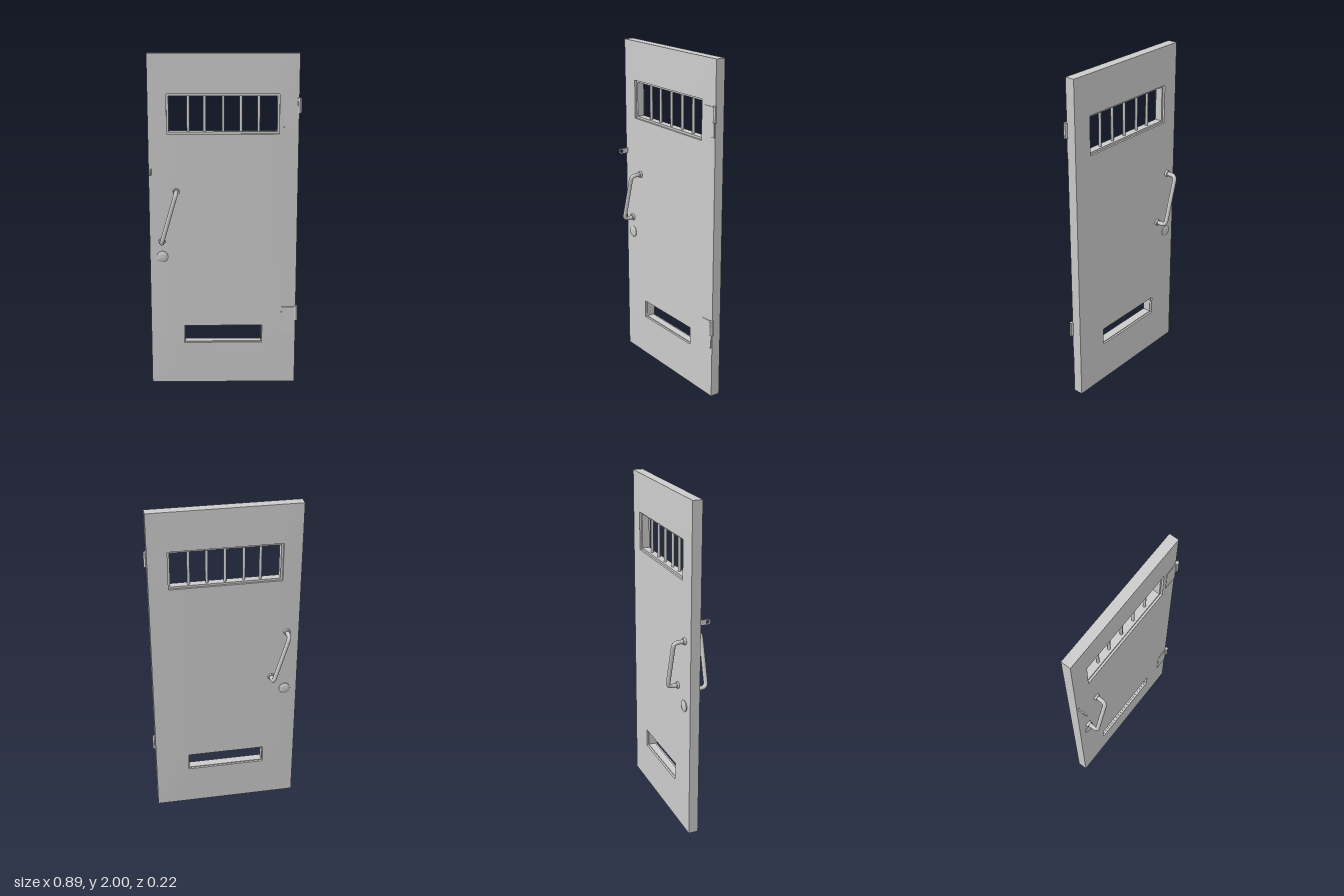
import * as THREE from 'three';
import { toCreasedNormals } from 'three/addons/utils/BufferGeometryUtils.js';

const material = new THREE.MeshStandardMaterial({ color: 0xcccccc });

function add(parent, name, geometry, x = 0, y = 0, z = 0) {
  const mesh = new THREE.Mesh(geometry, material);
  mesh.name = name;
  mesh.position.set(x, y, z);
  parent.add(mesh);
  return mesh;
}

// Slightly pillowed slab: a grid of cells with two cells left open
function doorGeometry() {
  const xs = [-0.445, -0.336, -0.246, 0.225, 0.315, 0.428];
  const ys = [0, 0.26, 0.37, 1.54, 1.77, 2];
  const solid = (i, j) => i >= 0 && j >= 0 && i < 5 && j < 5
    && !(j === 1 && i === 2) && !(j === 3 && i > 0 && i < 4);
  const point = (i, j, side) => {
    const rim = i === 0 || j === 0 || i === 5 || j === 5;
    return [xs[i], ys[j], side * (rim ? 0.029 : 0.034)];
  };
  const out = [];
  const quad = (a, b, c, d) => out.push(...a, ...b, ...c, ...a, ...c, ...d);
  for (let i = 0; i < 5; i++) {
    for (let j = 0; j < 5; j++) {
      if (!solid(i, j)) continue;
      const f = [[i, j], [i + 1, j], [i + 1, j + 1], [i, j + 1]].map(([a, b]) => point(a, b, 1));
      const k = f.map(([x, y, z]) => [x, y, -z]);
      quad(f[0], f[1], f[2], f[3]);
      quad(k[1], k[0], k[3], k[2]);
      // Walls on the rim and inside the openings
      [[0, -1], [1, 0], [0, 1], [-1, 0]].forEach(([dx, dy], e) => {
        const n = (e + 1) % 4;
        if (!solid(i + dx, j + dy)) quad(f[e], k[e], k[n], f[n]);
      });
    }
  }
  const geometry = new THREE.BufferGeometry();
  geometry.setAttribute('position', new THREE.Float32BufferAttribute(out, 3));
  return toCreasedNormals(geometry, 0.5);
}

function rectangle(PathType, x0, x1, y0, y1) {
  return new PathType([[x0, y0], [x1, y0], [x1, y1], [x0, y1]].map(p => new THREE.Vector2(...p)));
}

function frameGeometry(x0, x1, y0, y1, width, depth) {
  const shape = rectangle(THREE.Shape, x0, x1, y0, y1);
  shape.holes.push(rectangle(THREE.Path, x0 + width, x1 - width, y0 + width, y1 - width));
  return new THREE.ExtrudeGeometry(shape, { depth, bevelEnabled: false }).translate(0, 0, -depth / 2);
}

// Slanted pull handle with rounded corners, collars and a domed lock knob
function handleSet(name, topX, bottomX) {
  const group = new THREE.Group();
  group.name = name;
  const top = new THREE.Vector3(topX, 1.2, 0.028);
  const bottom = new THREE.Vector3(bottomX, 0.9, 0.028);
  const outer = p => p.clone().setZ(0.1);
  const topOut = outer(top), bottomOut = outer(bottom);
  const along = topOut.clone().sub(bottomOut).normalize().multiplyScalar(0.03);
  const back = new THREE.Vector3(0, 0, -0.03);
  const a = bottomOut.clone().add(back), b = bottomOut.clone().add(along);
  const c = topOut.clone().sub(along), d = topOut.clone().add(back);
  const path = new THREE.CurvePath();
  path.add(new THREE.LineCurve3(bottom, a));
  path.add(new THREE.QuadraticBezierCurve3(a, bottomOut, b));
  path.add(new THREE.LineCurve3(b, c));
  path.add(new THREE.QuadraticBezierCurve3(c, topOut, d));
  path.add(new THREE.LineCurve3(d, top));
  add(group, 'handleBar', new THREE.TubeGeometry(path, 64, 0.0125, 10));
  for (const p of [top, bottom]) {
    add(group, 'handleCollar', new THREE.CylinderGeometry(0.019, 0.021, 0.018, 16).rotateX(Math.PI / 2), p.x, p.y, 0.037);
  }
  const profile = [[0.034, 0], [0.034, 0.009], [0.029, 0.013], [0.016, 0.016], [0, 0.017]]
    .map(p => new THREE.Vector2(...p));
  add(group, 'lockKnob', toCreasedNormals(new THREE.LatheGeometry(profile, 20).rotateX(Math.PI / 2), 0.6), -0.371, 0.806, 0.028);
  return group;
}

function hinge(top) {
  const group = new THREE.Group();
  group.name = 'hinge';
  add(group, 'hingeLeaf', new THREE.BoxGeometry(0.082, 0.169, 0.009), 0.383, top - 0.091, 0.0305);
  const pin = toCreasedNormals(new THREE.CylinderGeometry(0.012, 0.012, 0.09, 6), 0.5);
  add(group, 'hingePin', pin, 0.43, top - 0.045, 0.035);
  return group;
}

export function createModel() {
  const model = new THREE.Group();
  model.name = 'door';
  add(model, 'doorPanel', doorGeometry());

  // Barred window and lower slot
  add(model, 'windowFrame', frameGeometry(-0.336, 0.315, 1.54, 1.77, 0.012, 0.044));
  for (const x of [-0.212, -0.117, -0.009, 0.094, 0.197]) {
    add(model, 'windowBar', new THREE.CylinderGeometry(0.0085, 0.0085, 0.214, 10), x, 1.655, 0);
  }
  add(model, 'slotFrame', frameGeometry(-0.246, 0.225, 0.26, 0.37, 0.005, 0.044));

  // Handles on both faces, the rear one turned half way round
  model.add(handleSet('frontHandle', -0.285, -0.373));
  const rear = handleSet('backHandle', -0.285, -0.373);
  rear.rotation.y = Math.PI;
  rear.position.x = -0.658;
  rear.getObjectByName('lockKnob').position.x = -0.287;
  model.add(rear);

  for (const top of [1.75, 0.493]) model.add(hinge(top));

  // Padlock tab: a rounded plate with an eye, standing out from the front
  const tab = new THREE.Shape();
  tab.moveTo(0.02, -0.016).lineTo(0.076, -0.016);
  tab.absarc(0.076, 0, 0.016, -Math.PI / 2, Math.PI / 2, false);
  tab.lineTo(0.02, 0.016);
  tab.holes.push(new THREE.Path().absarc(0.074, 0, 0.009, 0, Math.PI * 2, true));
  const tabGeometry = new THREE.ExtrudeGeometry(tab, { depth: 0.007, bevelEnabled: false, curveSegments: 10 });
  add(model, 'padlockTab', tabGeometry.rotateY(-Math.PI / 2), -0.428, 1.32, 0);
  return model;
}
